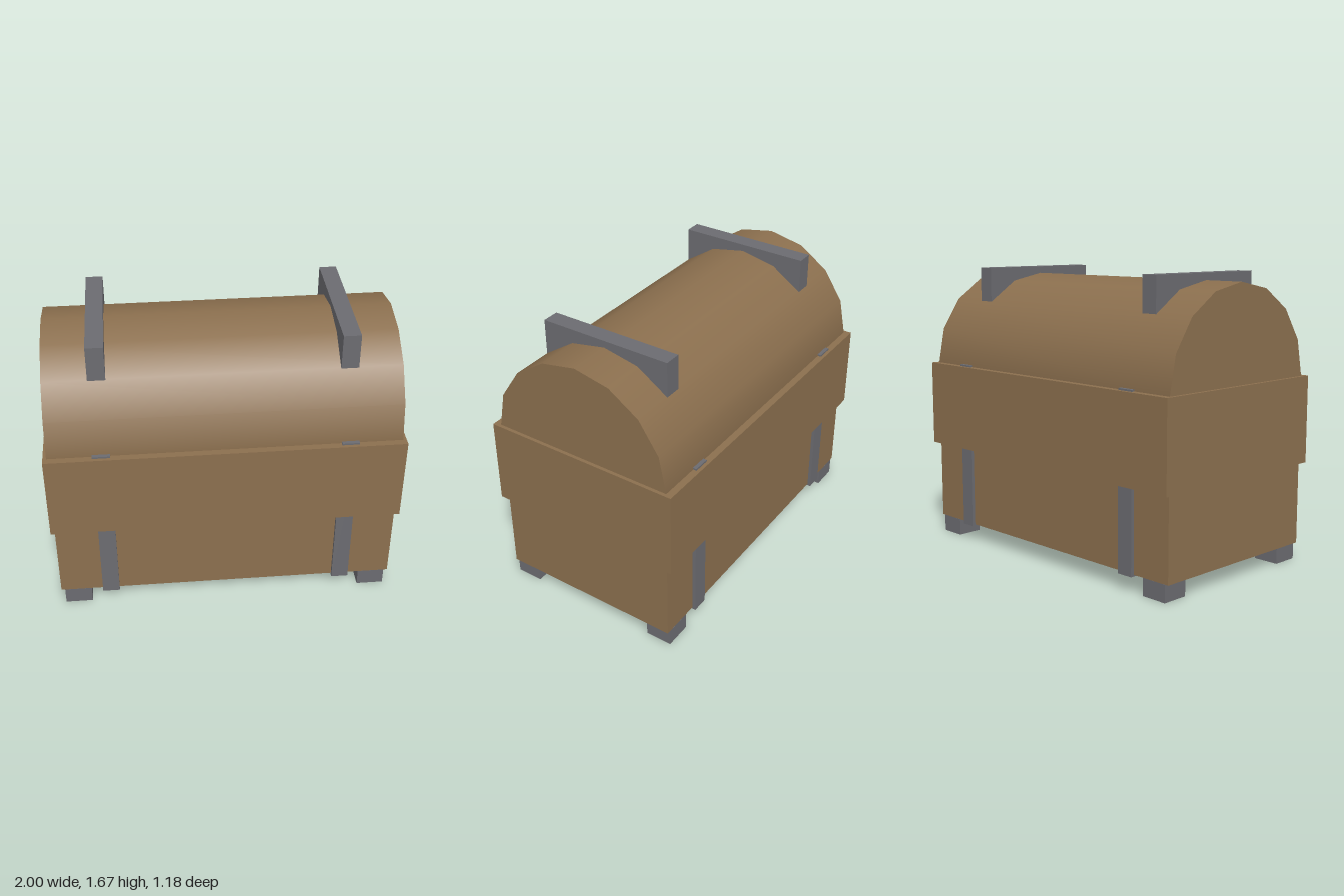
import * as THREE from 'three';

const wood = new THREE.MeshStandardMaterial({ color: 0x8b6f4e });
const metal = new THREE.MeshStandardMaterial({ color: 0x6b6b70 });

// Box given by its centre x/z, width, depth and bottom/top heights
function box(name, material, x, z, width, depth, bottom, top) {
  const mesh = new THREE.Mesh(new THREE.BoxGeometry(width, top - bottom, depth), material);
  mesh.position.set(x, (bottom + top) / 2, z);
  mesh.name = name;
  return mesh;
}

export function createModel() {
  const chest = new THREE.Group();
  chest.name = 'chest';

  // Lower body and the wider collar around its upper half
  chest.add(box('body', wood, 0, 0, 1.96, 1.1, 0.1, 1.08));
  chest.add(box('collar', wood, 0, 0, 2, 1.18, 0.575, 1.08));

  // Half-barrel lid lying along x
  const lidGeometry = new THREE.CylinderGeometry(0.55, 0.55, 1.96, 8, 1, false, 0, Math.PI);
  lidGeometry.rotateZ(Math.PI / 2);
  const lid = new THREE.Mesh(lidGeometry, wood);
  lid.position.y = 1.08;
  lid.name = 'lid';
  chest.add(lid);

  for (const side of [1, -1]) {
    const label = side > 0 ? 'left' : 'right';
    // Strap around the body and block across the lid
    chest.add(box(label + 'BodyStrap', metal, side * 0.685, 0, 0.098, 1.14, 0.09, 1.09));
    chest.add(box(label + 'LidStrap', metal, side * 0.685, 0, 0.098, 0.785, 1.467, 1.67));
    // Corner feet
    for (const end of [1, -1]) {
      const name = label + (end > 0 ? 'Front' : 'Back') + 'Foot';
      chest.add(box(name, metal, side * 0.88, end * 0.472, 0.157, 0.157, 0, 0.1));
    }
  }
  return chest;
}
